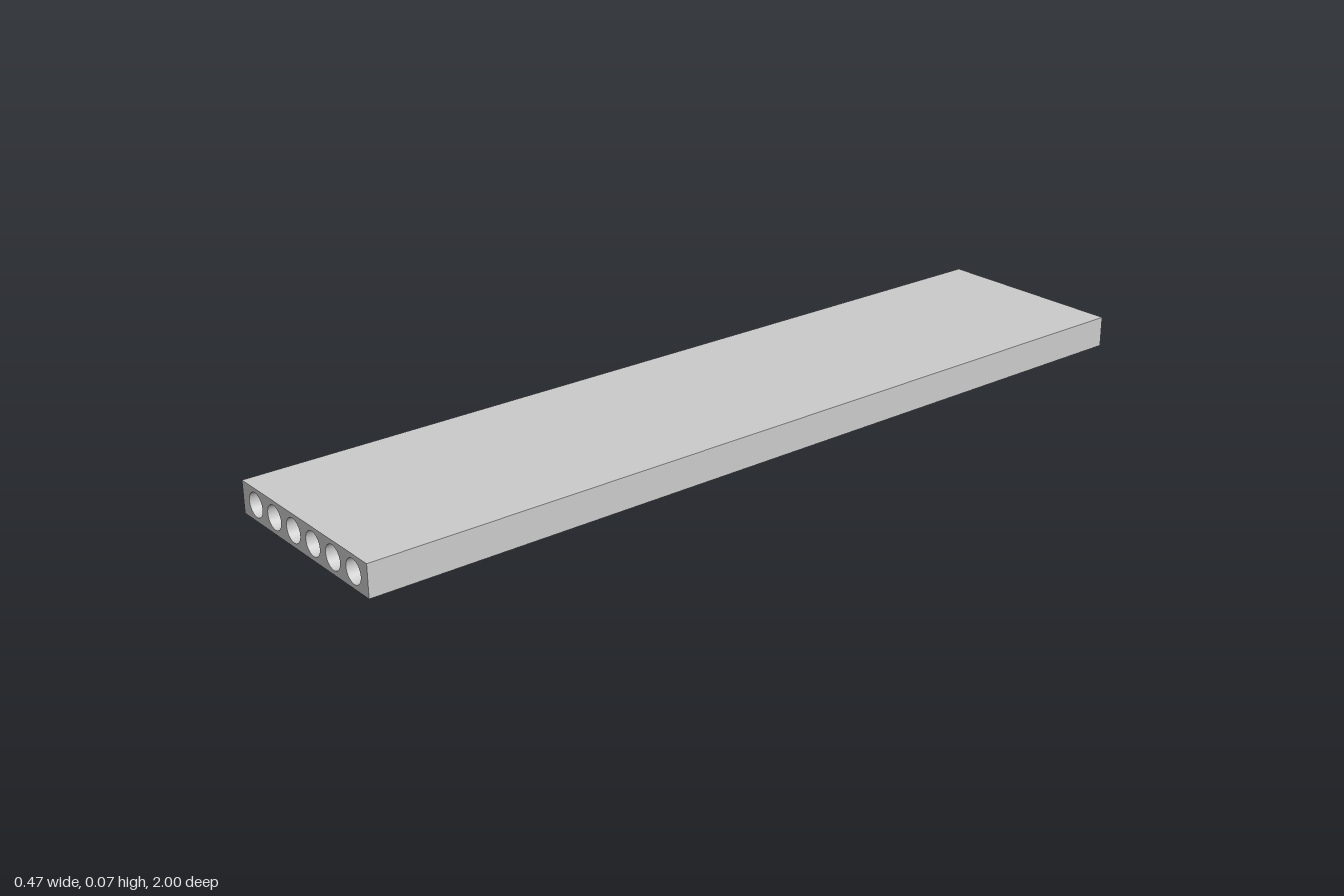
import * as THREE from 'three';

const WIDTH = 0.466, HEIGHT = 0.071, LENGTH = 2;
const CORES = 6, PITCH = 0.073, RADIUS = 0.026;

export function createModel() {
  const group = new THREE.Group();
  group.name = 'hollowCoreSlab';

  // Slab cross-section
  const section = new THREE.Shape();
  section.moveTo(-WIDTH / 2, 0);
  section.lineTo(WIDTH / 2, 0);
  section.lineTo(WIDTH / 2, HEIGHT);
  section.lineTo(-WIDTH / 2, HEIGHT);
  section.closePath();

  // Row of round cores running the full length
  for (let i = 0; i < CORES; i++) {
    const core = new THREE.Path();
    core.absarc((i - (CORES - 1) / 2) * PITCH, HEIGHT / 2, RADIUS, 0, Math.PI * 2, true);
    section.holes.push(core);
  }

  const geometry = new THREE.ExtrudeGeometry(section, {
    depth: LENGTH, bevelEnabled: false, curveSegments: 48,
  });
  geometry.translate(0, 0, -LENGTH / 2);

  // Smooth the core walls: normals point towards each core's axis
  const { position, normal } = geometry.attributes;
  for (let i = 0; i < position.count; i++) {
    const onEnd = Math.abs(normal.getZ(i)) > 0.5;
    const onOutside = Math.abs(position.getX(i)) > WIDTH / 2 - 1e-4
      || Math.abs(position.getY(i) - HEIGHT / 2) > HEIGHT / 2 - 1e-4;
    if (onEnd || onOutside) continue;
    const index = Math.round(position.getX(i) / PITCH + (CORES - 1) / 2);
    const dx = (index - (CORES - 1) / 2) * PITCH - position.getX(i);
    const dy = HEIGHT / 2 - position.getY(i);
    const d = Math.hypot(dx, dy);
    normal.setXYZ(i, dx / d, dy / d, 0);
  }

  const slab = new THREE.Mesh(geometry, new THREE.MeshStandardMaterial({ color: 0xcccccc }));
  slab.name = 'slab';
  group.add(slab);
  return group;
}
